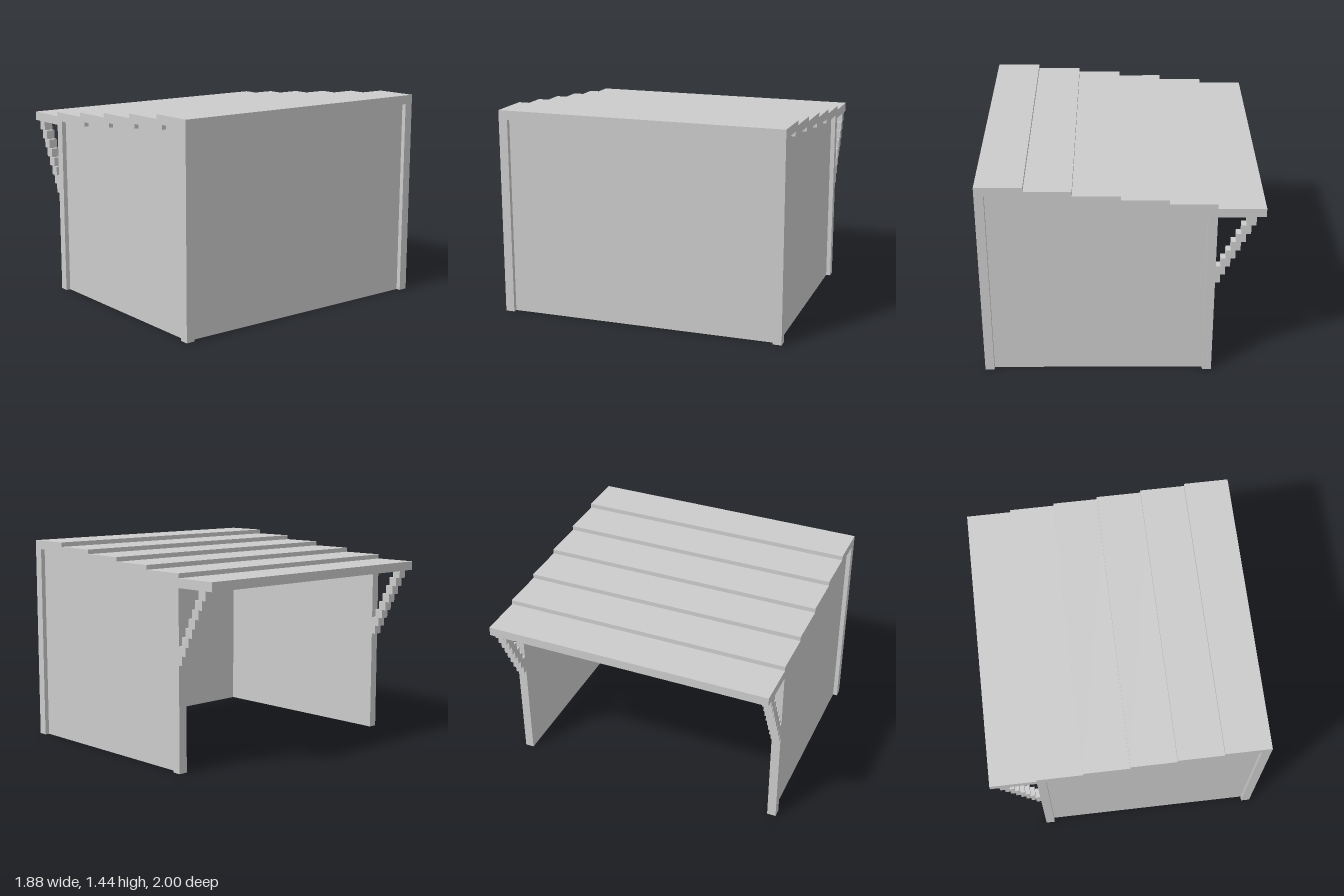
import * as THREE from 'three';

const U = 1 / 32; // base module
const material = new THREE.MeshStandardMaterial({ color: 0xcccccc, flatShading: true });

// Box given by its min and max corners, in modules
function block(name, x0, x1, y0, y1, z0, z1) {
  const geo = new THREE.BoxGeometry((x1 - x0) * U, (y1 - y0) * U, (z1 - z0) * U);
  geo.translate((x0 + x1) * U / 2, (y0 + y1) * U / 2, (z0 + z1) * U / 2);
  const mesh = new THREE.Mesh(geo, material);
  mesh.name = name;
  return mesh;
}

// Outline in the xy plane extruded from z0 to z1, in modules
function slab(name, points, z0, z1) {
  const shape = new THREE.Shape(points.map(([x, y]) => new THREE.Vector2(x * U, y * U)));
  const geo = new THREE.ExtrudeGeometry(shape, { depth: (z1 - z0) * U, bevelEnabled: false });
  geo.translate(0, 0, z0 * U);
  const mesh = new THREE.Mesh(geo, material);
  mesh.name = name;
  return mesh;
}

// Puts a slab or block at the front (+z) or mirrored at the back (-z)
const span = (side, near, far) => (side > 0 ? [near, far] : [-far, -near]);

export function createModel() {
  const model = new THREE.Group();
  model.name = 'leanToShed';

  // Overlapping roof boards, each one module higher than the last
  const roof = new THREE.Group();
  roof.name = 'roof';
  for (let i = 0; i < 6; i++) {
    const x = -30 + 10 * i;
    roof.add(block('roofBoard', x, Math.min(x + 12, 30), 39 + i, 41 + i, -32, 32));
  }
  model.add(roof);

  // Side wall outline, its top stepping under the boards
  const wall = [[28, 0], [28, 44]];
  for (let i = 4; i >= 1; i--) {
    const x = -18 + 10 * i;
    wall.push([x, 40 + i], [x, 39 + i]);
  }
  wall.push([-18, 40], [-18, 0]);

  // Stepped diagonal brace outline
  const lower = [], upper = [];
  for (let i = 0; i < 8; i++) {
    const x = -20 - i, y = 23 + 2 * i;
    lower.push([x, y], [x - 1, y]);
    if (i < 7) upper.push([x, y + 4], [x - 1, y + 4]);
  }
  const brace = [...lower, [-28, 39], ...upper.reverse()];

  for (const side of [1, -1]) {
    const end = side > 0 ? 'front' : 'back';
    model.add(slab(end + 'Wall', wall, ...span(side, 30, 31)));
    model.add(slab(end + 'Brace', brace, ...span(side, 30, 32)));
    model.add(block(end + 'LowPost', -20, -18, 0, 39, ...span(side, 30, 32)));
    model.add(block(end + 'TallPost', 28, 30, 0, 44, ...span(side, 30, 32)));
  }

  // Closed wall on the high side, recessed between the tall posts
  model.add(block('highWall', 28, 29, 0, 44, -30, 30));
  return model;
}
